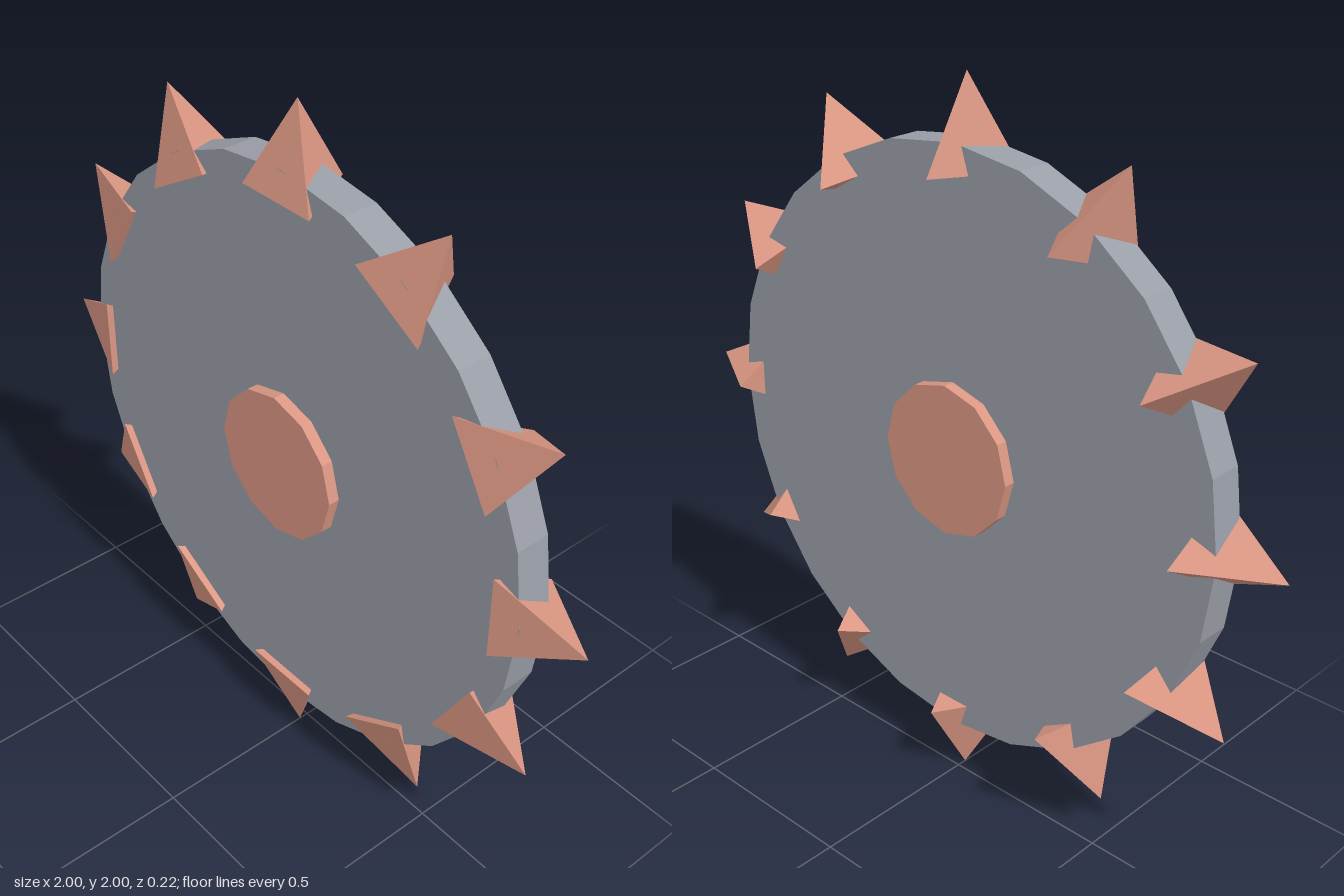
import * as THREE from 'three';

export function createModel() {
  const steel = new THREE.MeshStandardMaterial({ name: 'steel grey', color: 0x9a9ea7, flatShading: true });
  const copper = new THREE.MeshStandardMaterial({ name: 'copper', color: 0xdb9783, flatShading: true });

  const model = new THREE.Group();
  model.name = 'spikedWheel';

  // Everything sits on the wheel's axle, which runs along z
  const wheel = new THREE.Group();
  wheel.name = 'wheel';
  wheel.position.set(0, 1, 0.028);
  model.add(wheel);

  function addDrum(name, radius, thickness, sides, material) {
    const geometry = new THREE.CylinderGeometry(radius, radius, thickness, sides).rotateX(Math.PI / 2);
    const drum = new THREE.Mesh(geometry, material);
    drum.name = name;
    wheel.add(drum);
  }

  // Disc and the hub that passes through it
  addDrum('disc', 0.835, 0.098, 24, steel);
  addDrum('hub', 0.213, 0.162, 12, copper);

  // Ring of three-sided spikes, each with a flat face forward and an edge at the back
  const height = 0.238;
  const spikeGeometry = new THREE.ConeGeometry(0.139, height, 3, 1, false, Math.PI)
    .translate(0, 1 - height / 2, 0);
  const count = 12;
  for (let i = 0; i < count; i++) {
    const spike = new THREE.Mesh(spikeGeometry, copper);
    spike.name = 'spike' + (i + 1);
    spike.rotation.z = (i / count) * Math.PI * 2;
    wheel.add(spike);
  }

  return model;
}
